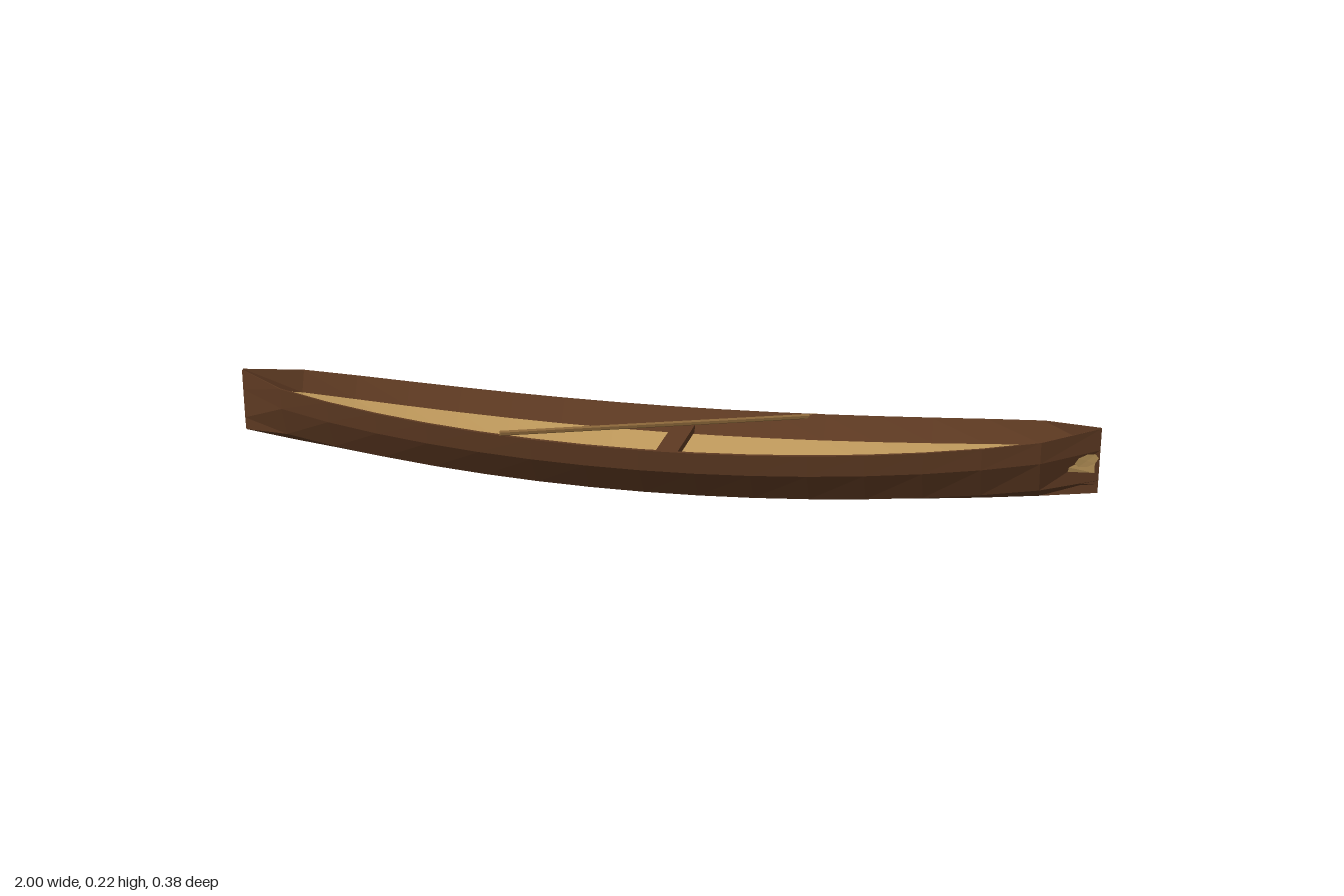
import * as THREE from 'three';

const CENTRE_Z = -0.027;
const STATIONS = 16;

// Midship half section, from keel over the rim and back to the inner floor: [half width, height]
const SECTION = [
  [0, 0], [0.102, 0.03], [0.154, 0.1], [0.163, 0.15],
  [0.153, 0.15], [0.118, 0.1], [0.083, 0.045], [0, 0.02],
];

// Half width follows an ellipse, sampled at the stations only
const stationWidth = (x) => Math.max(0.018, Math.sqrt(Math.max(0, 1 - x * x)));
const rocker = (x) => 0.072 * x * x;

// Point on the hull for a station position and a section point
function hullPoint(x, [w, h], side, width = stationWidth(x)) {
  return [x, h + rocker(x), CENTRE_Z + side * w * width];
}

// One lengthwise plank between two neighbouring section points
function plank(from, to, side) {
  const positions = [];
  for (let i = 0; i < STATIONS; i++) {
    const x0 = -1 + (2 * i) / STATIONS;
    const x1 = -1 + (2 * (i + 1)) / STATIONS;
    const a = hullPoint(x0, from, side), b = hullPoint(x1, from, side);
    const c = hullPoint(x1, to, side), d = hullPoint(x0, to, side);
    const tris = side > 0 ? [a, b, c, a, c, d] : [a, c, b, a, d, c];
    tris.forEach((p) => positions.push(...p));
  }
  return fromPositions(positions);
}

function fromPositions(positions) {
  const geometry = new THREE.BufferGeometry();
  geometry.setAttribute('position', new THREE.Float32BufferAttribute(positions, 3));
  geometry.computeVertexNormals();
  return geometry;
}

// Small rounded mark lying on the outside of the bow
function bowPatch(side) {
  const w0 = stationWidth(0.875), w1 = stationWidth(1);
  const point = (x, h) => {
    const t = (x - 0.875) / 0.125;
    const w = 0.102 + (0.052 * (h - 0.03)) / 0.07;
    const p = hullPoint(x, [w, h], side, w0 + (w1 - w0) * t);
    p[2] += side * 0.0025;
    return p;
  };
  const positions = [];
  const ring = (i) => {
    const a = (i / 8) * Math.PI * 2;
    return point(0.973 + 0.025 * Math.cos(a), 0.083 + 0.015 * Math.sin(a));
  };
  for (let i = 0; i < 8; i++) {
    const tri = [point(0.973, 0.083), ring(i), ring(i + 1)];
    if (side < 0) tri.reverse();
    tri.forEach((p) => positions.push(...p));
  }
  return fromPositions(positions);
}

export function createModel() {
  const wood = new THREE.MeshStandardMaterial({ color: 0x5e3a22, flatShading: true, side: THREE.DoubleSide });
  wood.name = 'dark wood';
  const tan = new THREE.MeshStandardMaterial({ color: 0xc09a5c, flatShading: true, side: THREE.DoubleSide });
  tan.name = 'pale wood';
  const poleWood = new THREE.MeshStandardMaterial({ color: 0x8c683a, flatShading: true });
  poleWood.name = 'pole wood';

  const model = new THREE.Group();
  model.name = 'canoe';
  const add = (name, geometry, material, parent = model) => {
    const mesh = new THREE.Mesh(geometry, material);
    mesh.name = name;
    parent.add(mesh);
    return mesh;
  };

  // Hull planks, mirrored about the keel
  const names = ['bottomPlank', 'bilgePlank', 'topPlank', 'rim', 'innerTopPlank', 'innerPaleStrip', 'floorPlank'];
  for (const side of [1, -1]) {
    const half = new THREE.Group();
    half.name = side > 0 ? 'frontHullHalf' : 'backHullHalf';
    model.add(half);
    names.forEach((name, i) => {
      add(name, plank(SECTION[i], SECTION[i + 1], side), name === 'innerPaleStrip' ? tan : wood, half);
    });
    add('bowPatch', bowPatch(side), tan, half);
  }

  // Cross seat
  add('seat', new THREE.BoxGeometry(0.05, 0.016, 0.25), wood).position.set(0.045, 0.112, CENTRE_Z);

  // Pole laid diagonally across the rims
  const start = new THREE.Vector3(-0.303, 0.183, 0.184);
  const end = new THREE.Vector3(0.353, 0.153, -0.184);
  const direction = end.clone().sub(start);
  const pole = add('pole', new THREE.CylinderGeometry(0.006, 0.006, direction.length(), 6), poleWood);
  pole.position.copy(start).add(end).multiplyScalar(0.5);
  pole.quaternion.setFromUnitVectors(new THREE.Vector3(0, 1, 0), direction.normalize());

  return model;
}
